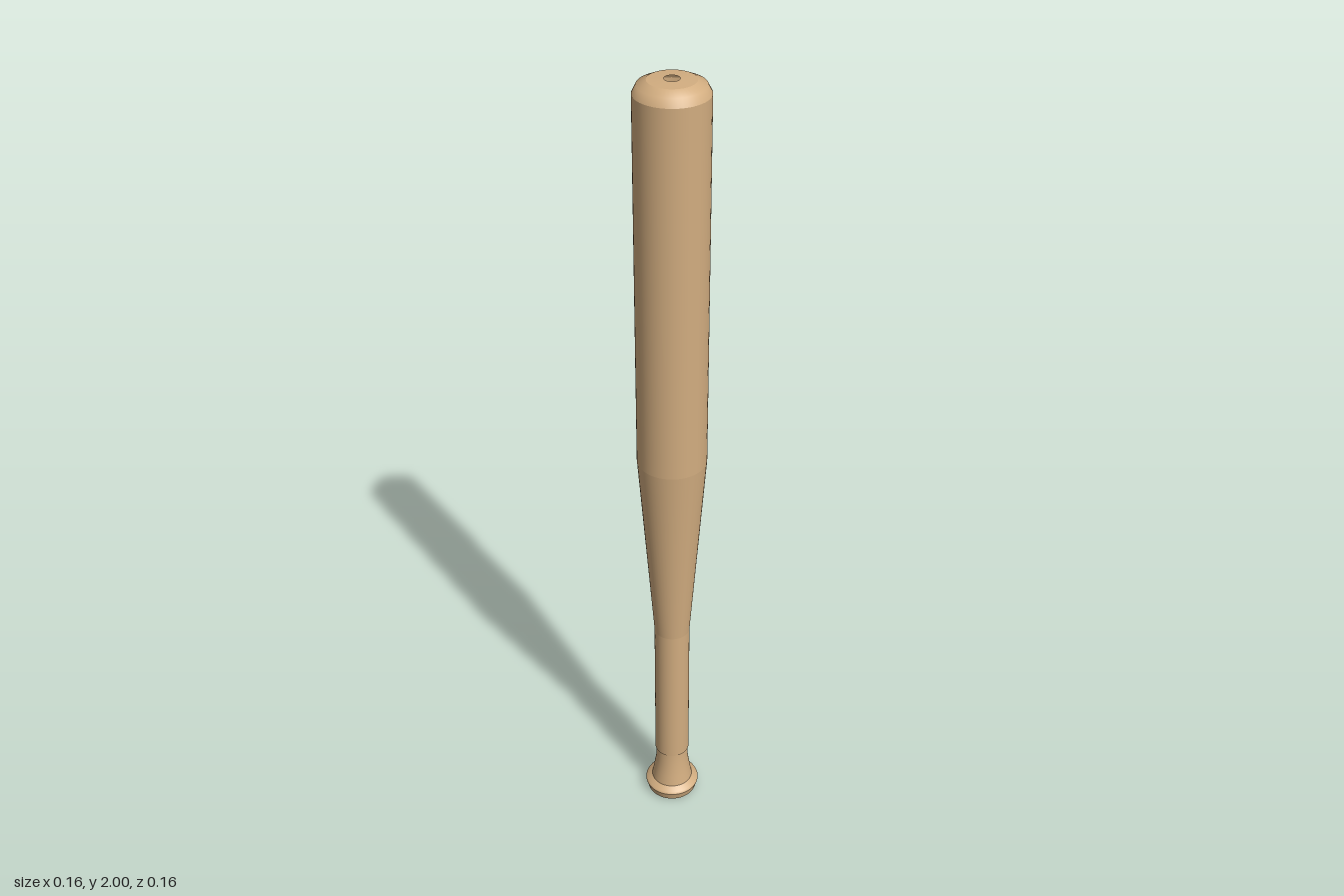
import * as THREE from 'three';

export function createModel() {
  const group = new THREE.Group();
  const wood = new THREE.MeshStandardMaterial({ color: 0xd2ad80, side: THREE.DoubleSide });
  wood.name = 'tan wood';

  // Each section is turned from [radius, height] points, bottom to top;
  // separate sections keep a crisp ring where they meet.
  const turn = (name, points) => {
    const profile = points.map(([r, y]) => new THREE.Vector2(r, y));
    const mesh = new THREE.Mesh(new THREE.LatheGeometry(profile, 48), wood);
    mesh.name = name;
    group.add(mesh);
  };

  // Knob with a pinhole in its underside
  turn('knobBase', [[0.006, 0.005], [0.058, 0], [0.064, 0.005]]);
  turn('knobSide', [[0.064, 0.005], [0.07, 0.027]]);
  turn('knobTop', [[0.07, 0.027], [0.067, 0.033], [0.053, 0.042]]);

  // Grip
  turn('flare', [[0.053, 0.042], [0.048, 0.07], [0.042, 0.11], [0.041, 0.145]]);
  turn('handle', [[0.041, 0.145], [0.044, 0.147], [0.044, 0.56]]);

  // Hitting end
  turn('taper', [[0.044, 0.56], [0.082, 1.08]]);
  turn('barrel', [[0.082, 1.08], [0.082, 1.97]]);
  turn('barrelShoulder', [[0.082, 1.97], [0.073, 1.988], [0.052, 1.998]]);
  turn('barrelEnd', [[0.052, 1.998], [0.017, 2]]);

  return group;
}
